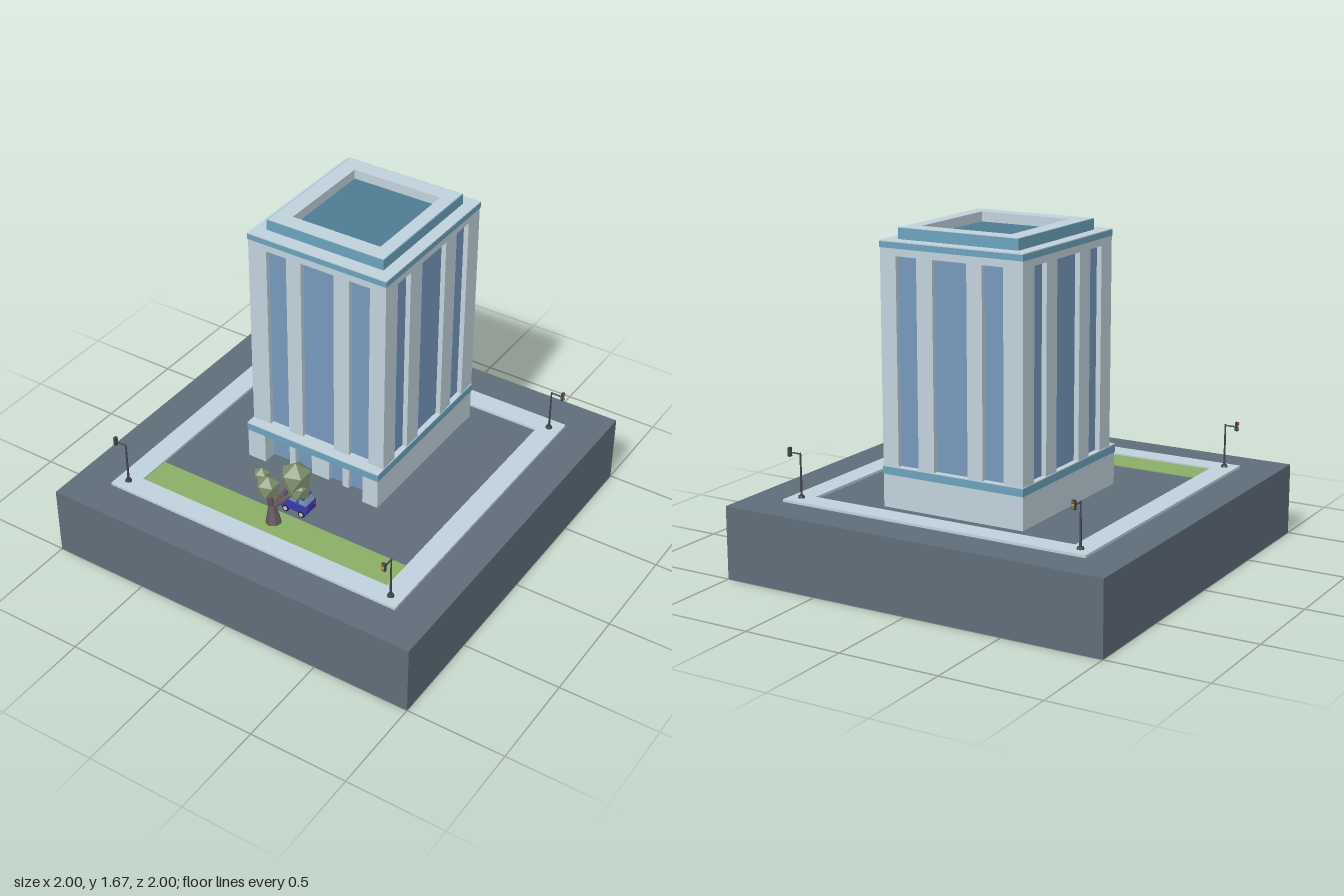
import * as THREE from 'three';

const mat = (color) => new THREE.MeshStandardMaterial({ color, flatShading: true });
const M = {
  stone: mat(0x5f6d79), wall: mat(0xc0d2dc), glass: mat(0x7798bd), band: mat(0x6ca3bd),
  pool: mat(0x4f7b93), grass: mat(0x8aae66), leaf: mat(0x7c8b6c), bark: mat(0x64575a),
  metal: mat(0x40464e), paint: mat(0x3c38ae), tyre: mat(0x25252c),
  red: mat(0xc04038), amber: mat(0xd8a838), green: mat(0x4f9a4a), pale: mat(0xc8c8d8),
};

function add(parent, name, geometry, material) {
  const mesh = new THREE.Mesh(geometry, material);
  mesh.name = name;
  parent.add(mesh);
  return mesh;
}

// Box given by its limits on each axis
function block(parent, name, material, [x0, x1], [y0, y1], [z0, z1]) {
  const mesh = add(parent, name, new THREE.BoxGeometry(x1 - x0, y1 - y0, z1 - z0), material);
  mesh.position.set((x0 + x1) / 2, (y0 + y1) / 2, (z0 + z1) / 2);
  return mesh;
}

const rect = (Type, [x0, x1], [z0, z1]) => new Type([
  new THREE.Vector2(x0, -z1), new THREE.Vector2(x1, -z1),
  new THREE.Vector2(x1, -z0), new THREE.Vector2(x0, -z0),
]);

// Flat rectangular ring lying on the ground plane
function ring(parent, name, material, outer, inner, y, height) {
  const shape = rect(THREE.Shape, ...outer);
  shape.holes.push(rect(THREE.Path, ...inner));
  const geometry = new THREE.ExtrudeGeometry(shape, { depth: height, bevelEnabled: false });
  const mesh = add(parent, name, geometry.rotateX(-Math.PI / 2), material);
  mesh.position.y = y;
  return mesh;
}

// Tapered rod between two points
function limb(parent, name, material, a, b, ra, rb, sides = 6) {
  const p = new THREE.Vector3(...a), q = new THREE.Vector3(...b);
  const dir = q.clone().sub(p);
  const mesh = add(parent, name, new THREE.CylinderGeometry(rb, ra, dir.length(), sides), material);
  mesh.position.copy(p).add(q).multiplyScalar(0.5);
  mesh.quaternion.setFromUnitVectors(new THREE.Vector3(0, 1, 0), dir.normalize());
  return mesh;
}

function group(parent, name) {
  const g = new THREE.Group();
  g.name = name;
  parent.add(g);
  return g;
}

function buildTower(root) {
  const tower = group(root, 'tower');
  const X = [-0.39, 0.36], Z = [-0.625, 0.2], deep = 0.025;

  // Ground floor with side wings and a recessed glazed front
  block(tower, 'groundFloor', M.wall, X, [0.36, 0.52], [Z[0], 0.165]);
  block(tower, 'lobbyGlass', M.glass, [-0.29, 0.275], [0.36, 0.52], [0.16, 0.175]);
  for (const x of [[-0.39, -0.29], [0.275, 0.36]])
    block(tower, 'sideWing', M.wall, x, [0.36, 0.52], [0.165, 0.25]);
  for (const x of [[-0.18, -0.145], [-0.05, 0.05], [0.13, 0.165]])
    block(tower, 'lobbyPier', M.wall, x, [0.36, 0.52], [0.17, 0.2]);
  block(tower, 'canopyBand', M.band, [-0.393, 0.363], [0.52, 0.557], [-0.628, 0.253]);
  block(tower, 'canopyTop', M.wall, [-0.393, 0.363], [0.557, 0.562], [-0.628, 0.253]);

  // Glass core behind wall piers on all four sides
  block(tower, 'windows', M.glass, [X[0] + deep, X[1] - deep], [0.56, 1.56], [Z[0] + deep, Z[1] - deep]);
  const px = [[-0.39, -0.29], [-0.18, -0.1], [0.08, 0.165], [0.275, 0.36]];
  const pz = [[-0.625, -0.525], [-0.415, -0.32], [-0.11, -0.01], [0.1, 0.2]];
  const height = [0.56, 1.55];
  for (const i of [0, 3]) for (const j of [0, 3])
    block(tower, 'cornerPier', M.wall, px[i], height, pz[j]);
  for (const i of [1, 2]) {
    for (const z of [[Z[0], Z[0] + 0.03], [Z[1] - 0.03, Z[1]]]) block(tower, 'wallPier', M.wall, px[i], height, z);
    for (const x of [[X[0], X[0] + 0.03], [X[1] - 0.03, X[1]]]) block(tower, 'wallPier', M.wall, x, height, pz[i]);
  }

  // Cornice and parapet around the sunken roof
  block(tower, 'lintel', M.wall, X, [1.55, 1.585], Z);
  block(tower, 'corniceBand', M.band, [-0.393, 0.363], [1.585, 1.613], [-0.628, 0.203]);
  block(tower, 'corniceTop', M.wall, [-0.393, 0.363], [1.613, 1.618], [-0.628, 0.203]);
  const rim = [[-0.328, 0.298], [-0.56, 0.128]], hole = [[-0.245, 0.23], [-0.475, 0.045]];
  ring(tower, 'parapet', M.wall, rim, hole, 1.615, 0.057);
  ring(tower, 'parapetBand', M.band, [[-0.332, 0.302], [-0.564, 0.132]], rim, 1.615, 0.055);
  block(tower, 'roofFloor', M.pool, hole[0], [1.61, 1.624], hole[1]);
}

// Signal post whose arm points along local +x
function buildSignal(root, x, z, turn) {
  const g = group(root, 'signalPost');
  g.position.set(x, 0.37, z);
  g.rotation.y = turn;
  add(g, 'foot', new THREE.CylinderGeometry(0.014, 0.018, 0.012, 10), M.metal).position.y = 0.008;
  limb(g, 'pole', M.metal, [0, 0, 0], [0, 0.222, 0], 0.006, 0.004, 8);
  limb(g, 'arm', M.metal, [0, 0.217, 0], [0.06, 0.217, 0], 0.004, 0.004, 8);
  block(g, 'signalHead', M.metal, [0.055, 0.068], [0.197, 0.241], [-0.009, 0.009]);
  [M.green, M.amber, M.red].forEach((m, i) => {
    const lamp = add(g, 'lamp', new THREE.CylinderGeometry(0.005, 0.005, 0.006, 10), m);
    lamp.rotation.z = Math.PI / 2;
    lamp.position.set(0.07, 0.206 + i * 0.0135, 0);
  });
}

function buildTree(root) {
  const tree = group(root, 'tree');
  limb(tree, 'trunk', M.bark, [0.01, 0.365, 0.61], [0, 0.46, 0.605], 0.04, 0.019, 7);
  const crowns = [[0.085, 0.612, 0.528, 0.082], [-0.008, 0.575, 0.622, 0.063],
    [-0.083, 0.575, 0.565, 0.044], [0.11, 0.56, 0.54, 0.06]];
  for (const [x, y, z, r] of crowns) {
    limb(tree, 'branch', M.bark, [0, 0.445, 0.605], [x, y, z], 0.017, 0.009);
    const geometry = new THREE.IcosahedronGeometry(r, 0).rotateZ(Math.atan(2 / (1 + Math.sqrt(5))));
    add(tree, 'foliage', geometry, M.leaf).position.set(x, y, z);
  }
}

function buildCar(root) {
  const car = group(root, 'car');
  car.position.set(0.052, 0.36, 0.466);
  const side = (name, points, width, material) => {
    const shape = new THREE.Shape(points.map((p) => new THREE.Vector2(...p)));
    const geometry = new THREE.ExtrudeGeometry(shape, { depth: width, bevelEnabled: false });
    add(car, name, geometry.translate(0, 0, -width / 2), material);
  };
  side('body', [[-0.074, 0.024], [0.073, 0.024], [0.073, 0.07], [-0.035, 0.073], [-0.074, 0.06]], 0.084, M.paint);
  side('cabinGlass', [[-0.036, 0.072], [0.068, 0.069], [0.053, 0.103], [-0.012, 0.103]], 0.072, M.glass);
  side('roof', [[-0.014, 0.102], [0.055, 0.102], [0.049, 0.109], [-0.008, 0.109]], 0.074, M.paint);
  for (const s of [-1, 1]) {
    block(car, 'doorPost', M.paint, [0.018, 0.026], [0.07, 0.104], [s * 0.036 - 0.002, s * 0.036 + 0.002]);
    block(car, 'headlight', M.pale, [-0.076, -0.072], [0.045, 0.055], [s * 0.03 - 0.007, s * 0.03 + 0.007]);
    block(car, 'tailLight', M.red, [0.071, 0.075], [0.05, 0.06], [s * 0.032 - 0.006, s * 0.032 + 0.006]);
    for (const x of [-0.045, 0.045]) {
      const parts = [['wheel', 0.018, 0.014, M.tyre], ['hub', 0.011, 0.017, M.pale]];
      for (const [name, r, w, m] of parts) {
        const wheel = add(car, name, new THREE.CylinderGeometry(r, r, w, 14), m);
        wheel.rotation.x = Math.PI / 2;
        wheel.position.set(x, 0.018, s * 0.037);
      }
    }
  }
}

export function createModel() {
  const root = new THREE.Group();
  root.name = 'cityBlock';

  // Ground slab, pavement and lawn
  block(root, 'groundSlab', M.stone, [-1, 1], [0, 0.36], [-1, 1]);
  ring(root, 'pavement', M.wall, [[-0.81, 0.81], [-0.81, 0.81]], [[-0.7, 0.7], [-0.7, 0.7]], 0.355, 0.018);
  block(root, 'lawn', M.grass, [-0.7, 0.7], [0.355, 0.365], [0.53, 0.7]);

  buildTower(root);
  buildTree(root);
  buildCar(root);

  // One signal post per corner, each turned a quarter further
  const corners = [[0.75, -0.745], [-0.75, -0.745], [-0.75, 0.75], [0.75, 0.75]];
  corners.forEach(([x, z], i) => buildSignal(root, x, z, i * Math.PI / 2));
  return root;
}
